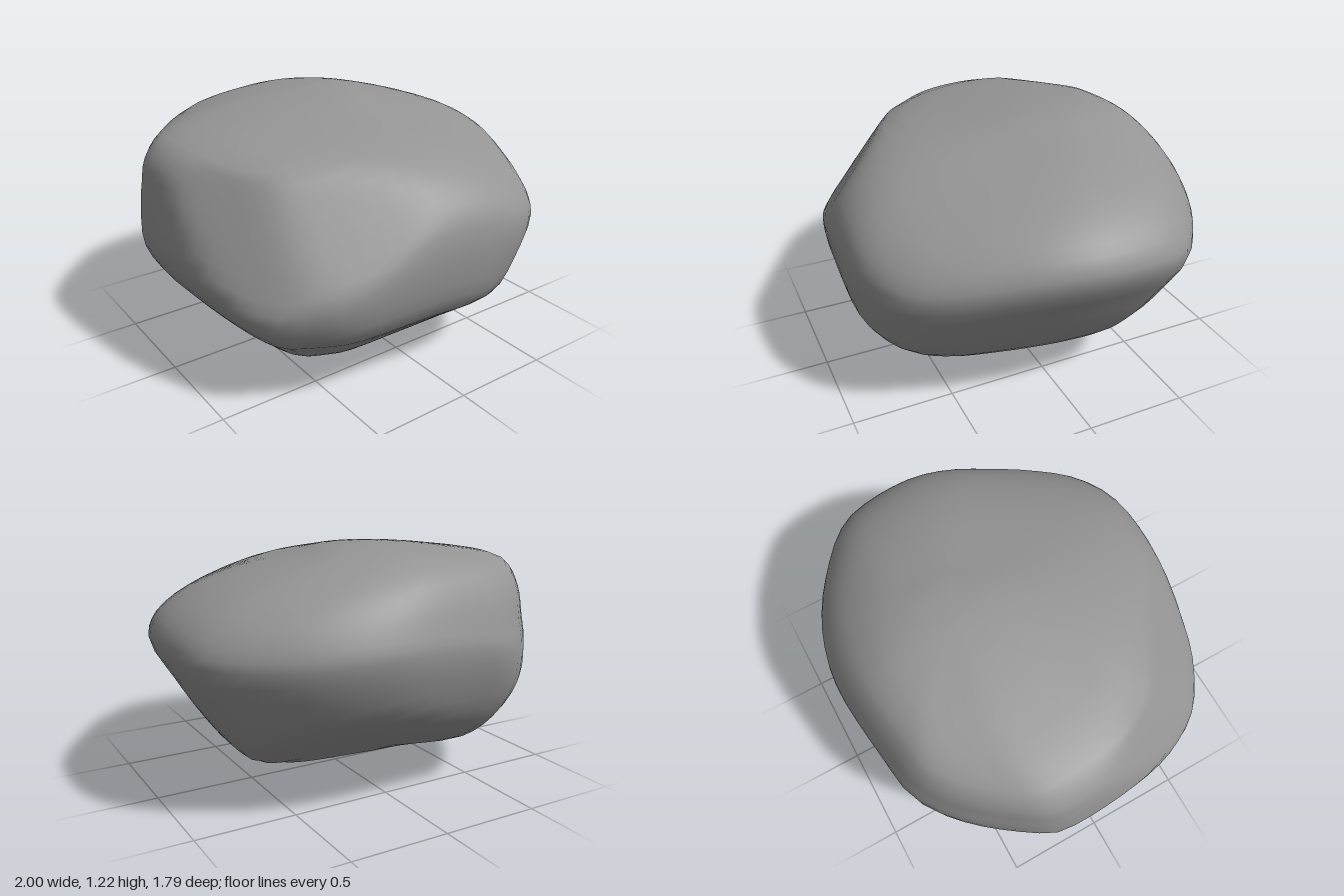
import * as THREE from 'three';

// Plan outline of the boulder (x, z), from the back round by +x
const OUTLINE = [
  [0.14, -0.89], [0.38, -0.85], [0.58, -0.77], [0.75, -0.66], [0.88, -0.55], [0.96, -0.43],
  [1, -0.1], [0.96, 0.13], [0.86, 0.38], [0.75, 0.6], [0.62, 0.77], [0.4, 0.88],
  [-0.1, 0.885], [-0.52, 0.83], [-0.68, 0.75], [-0.85, 0.64], [-0.96, 0.33],
  [-0.995, -0.28], [-0.93, -0.4], [-0.71, -0.67], [-0.52, -0.81], [-0.3, -0.85],
];

// Height, then the extent of that slice: x min, x max, z min, z max
const SLICES = [
  [0, -0.06, -0.06, 0.26, 0.26],
  [0.008, -0.15, 0.06, 0.17, 0.35],
  [0.05, -0.3, 0.16, 0.03, 0.44],
  [0.15, -0.62, 0.43, -0.27, 0.58],
  [0.25, -0.75, 0.64, -0.61, 0.69],
  [0.4, -0.89, 0.76, -0.75, 0.84],
  [0.6, -0.995, 0.89, -0.84, 0.89],
  [0.8, -0.985, 1, -0.89, 0.89],
  [0.91, -0.97, 0.96, -0.86, 0.84],
  [1.02, -0.94, 0.82, -0.81, 0.72],
  [1.11, -0.84, 0.6, -0.74, 0.52],
  [1.18, -0.5, 0.33, -0.62, 0.16],
  [1.215, -0.2, 0.18, -0.44, -0.08],
  [1.225, 0.01, 0.01, -0.27, -0.27],
];

const HEIGHT = 1.225;
const AROUND = 64;
const STEPS = 3; // rows per slice

// How far each corner sags, in its lower and upper half
const SAG = {
  frontLeft: [0.09, 0.1],
  frontRight: [0.02, 0.05],
  backLeft: [0.07, 0.03],
  backRight: [0.05, 0.08],
};

// Worn facets: outward normal, then distance from the middle of the stone
const FACETS = [
  [-0.748, 0.442, 0.496, 0.9], // right shoulder
  [-0.386, 0.579, 0.718, 0.805], // front right shoulder
  [0.314, -0.924, 0.214, 0.66], // underside, left
  [0.084, -0.827, 0.556, 0.71], // underside, front
  [0.132, -0.798, -0.588, 0.58], // underside, back
].map(([x, y, z, d]) => ({ normal: new THREE.Vector3(x, y, z).normalize(), d }));
const MIDDLE = new THREE.Vector3(0, HEIGHT / 2, 0);
const SOFTNESS = 0.03;

// Tilts the widest line of the stone: strongest at the corners, none at the poles
function cornerSag(u, w, y) {
  const [low, high] = SAG[(w > 0 ? 'front' : 'back') + (u > 0 ? 'Left' : 'Right')];
  const amount = THREE.MathUtils.lerp(low, high, THREE.MathUtils.smoothstep(y, 0.3, 0.95));
  return 4 * u * u * w * w * amount * Math.sin(Math.PI * y / HEIGHT);
}

// Presses a point back to each facet, with a rounded edge
function wear(point) {
  for (const { normal, d } of FACETS) {
    const s = point.clone().sub(MIDDLE).dot(normal) - d;
    point.addScaledVector(normal, -(s + Math.hypot(s, SOFTNESS)) / 2);
  }
  return point;
}

function createBoulderGeometry() {
  const outline = new THREE.CatmullRomCurve3(
    OUTLINE.map(([x, z]) => new THREE.Vector3(x, 0, z / 0.89)), true);
  const rows = (SLICES.length - 1) * STEPS;
  const positions = [];
  const indices = [];

  // One smooth rib from base to crown for each point of the outline
  for (let j = 0; j < AROUND; j++) {
    const p = outline.getPointAt(j / AROUND);
    const rib = new THREE.CatmullRomCurve3(SLICES.map(([y, x0, x1, z0, z1]) =>
      new THREE.Vector3(
        THREE.MathUtils.lerp(x0, x1, (p.x + 1) / 2),
        y - cornerSag(p.x, p.z, y),
        THREE.MathUtils.lerp(z0, z1, (p.z + 1) / 2))));
    for (let i = 0; i <= rows; i++) positions.push(...wear(rib.getPoint(i / rows)).toArray());
  }

  // Skin between neighbouring ribs, leaving out the empty triangles at the poles
  for (let j = 0; j < AROUND; j++) {
    const next = (j + 1) % AROUND;
    for (let i = 0; i < rows; i++) {
      const a = j * (rows + 1) + i;
      const b = next * (rows + 1) + i;
      if (i > 0) indices.push(a, a + 1, b);
      if (i < rows - 1) indices.push(b, a + 1, b + 1);
    }
  }

  const geometry = new THREE.BufferGeometry();
  geometry.setAttribute('position', new THREE.Float32BufferAttribute(positions, 3));
  geometry.setIndex(indices);
  geometry.computeVertexNormals();
  return geometry;
}

export function createModel() {
  const group = new THREE.Group();
  group.name = 'rock';
  const boulder = new THREE.Mesh(
    createBoulderGeometry(), new THREE.MeshStandardMaterial({ color: 0x959595 }));
  boulder.name = 'boulder';
  group.add(boulder);
  return group;
}
